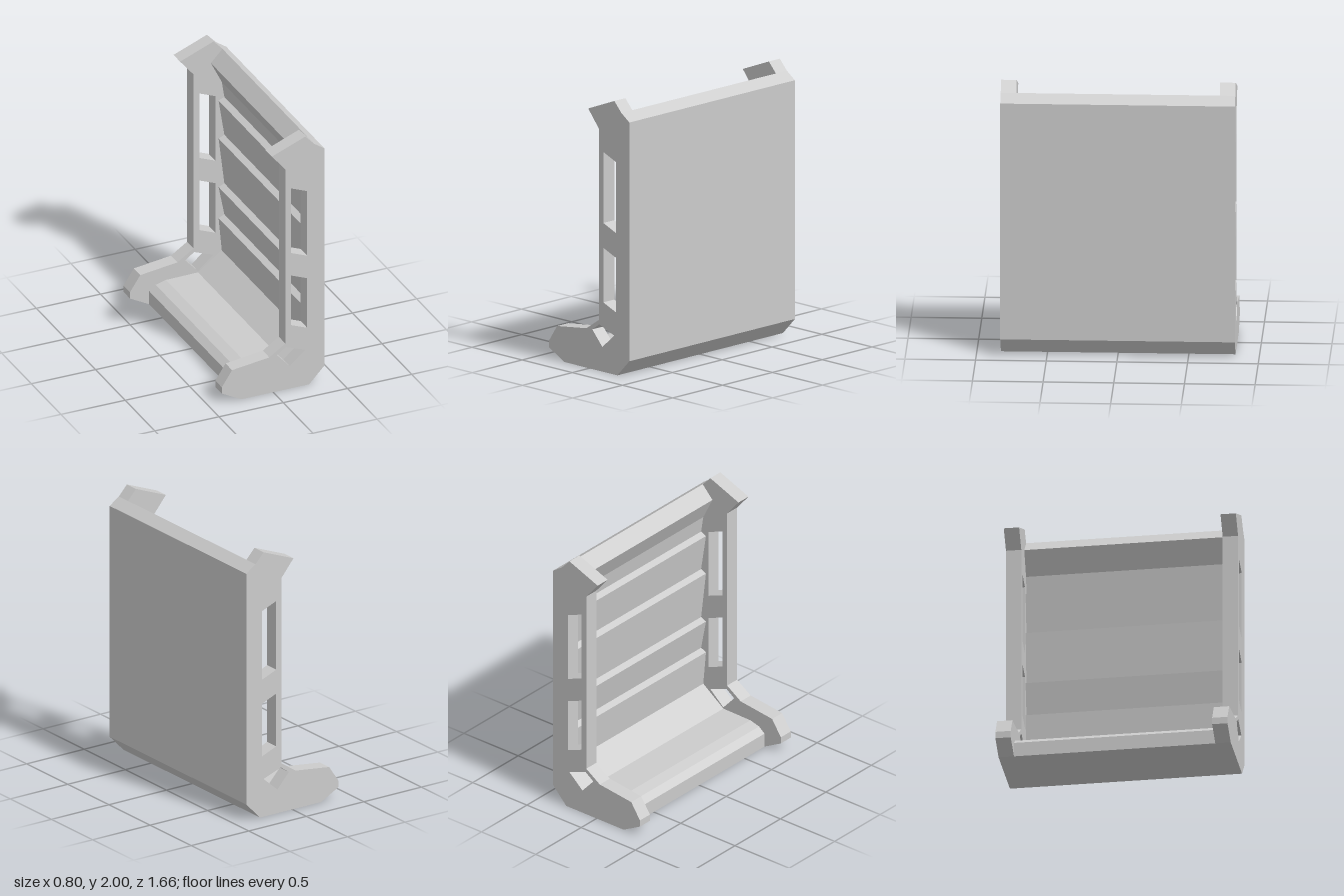
import * as THREE from 'three';

const HALF = 0.83;   // half of the full width along z
const INNER = 0.72;  // inner face of each end plate
const toPoints = (list) => list.map(([x, y]) => new THREE.Vector2(x, y));

// Extrudes an x-y outline, with optional holes, from z0 to z1
function slab(name, outline, holes, z0, z1) {
  const shape = new THREE.Shape(toPoints(outline));
  for (const hole of holes) shape.holes.push(new THREE.Path(toPoints(hole)));
  const geometry = new THREE.ExtrudeGeometry(shape, { depth: z1 - z0, bevelEnabled: false });
  geometry.translate(0, 0, z0);
  const material = new THREE.MeshStandardMaterial({ color: 0xcccccc, flatShading: true });
  const mesh = new THREE.Mesh(geometry, material);
  mesh.name = name;
  return mesh;
}

// Slanted window through an end plate
const slot = (bottom, top) => [
  [0.14, bottom], [0.14, top], [0.265, top - 0.05], [0.265, bottom - 0.05],
];

export function createModel() {
  const model = new THREE.Group();
  model.name = 'rack';

  // End plates with a hooked top and a foot
  const plate = [
    [-0.25, 0], [0.28, 0], [0.4, 0.125], [0.4, 1.87], [0.32, 1.925], [0.25, 2],
    [-0.01, 1.897], [0.095, 1.77], [0.095, 0.37], [-0.03, 0.287], [-0.32, 0.25],
    [-0.4, 0.13], [-0.4, 0.08],
  ];
  const windows = [
    slot(1.088, 1.607),
    slot(0.508, 0.907),
    [[0.03, 0.29], [0.1, 0.34], [0.25, 0.285], [0.13, 0.18]],
  ];
  model.add(slab('leftPlate', plate, windows, INNER, HALF));
  model.add(slab('rightPlate', plate, windows, -HALF, -INNER));

  // Back panel and tray in one section: tray underside, outer wall, top lip
  const section = [
    [-0.25, 0], [0.28, 0], [0.4, 0.125], [0.4, 1.87], [0.32, 1.925],
    [0.23, 1.83], [0.315, 1.66],
  ];
  // Louvred inner wall: each ledge steps out, then the wall leans back below it
  for (const y of [1.535, 1.23, 0.84, 0.59]) {
    section.push([0.335, y], [0.29, y - 0.02]);
  }
  // Sloped tray floor, rounding down to its front edge
  section.push([0.315, 0.305], [0.13, 0.17], [-0.12, 0.166], [-0.2, 0.145], [-0.25, 0.105]);
  model.add(slab('backPanelAndTray', section, [], -INNER, INNER));

  return model;
}
